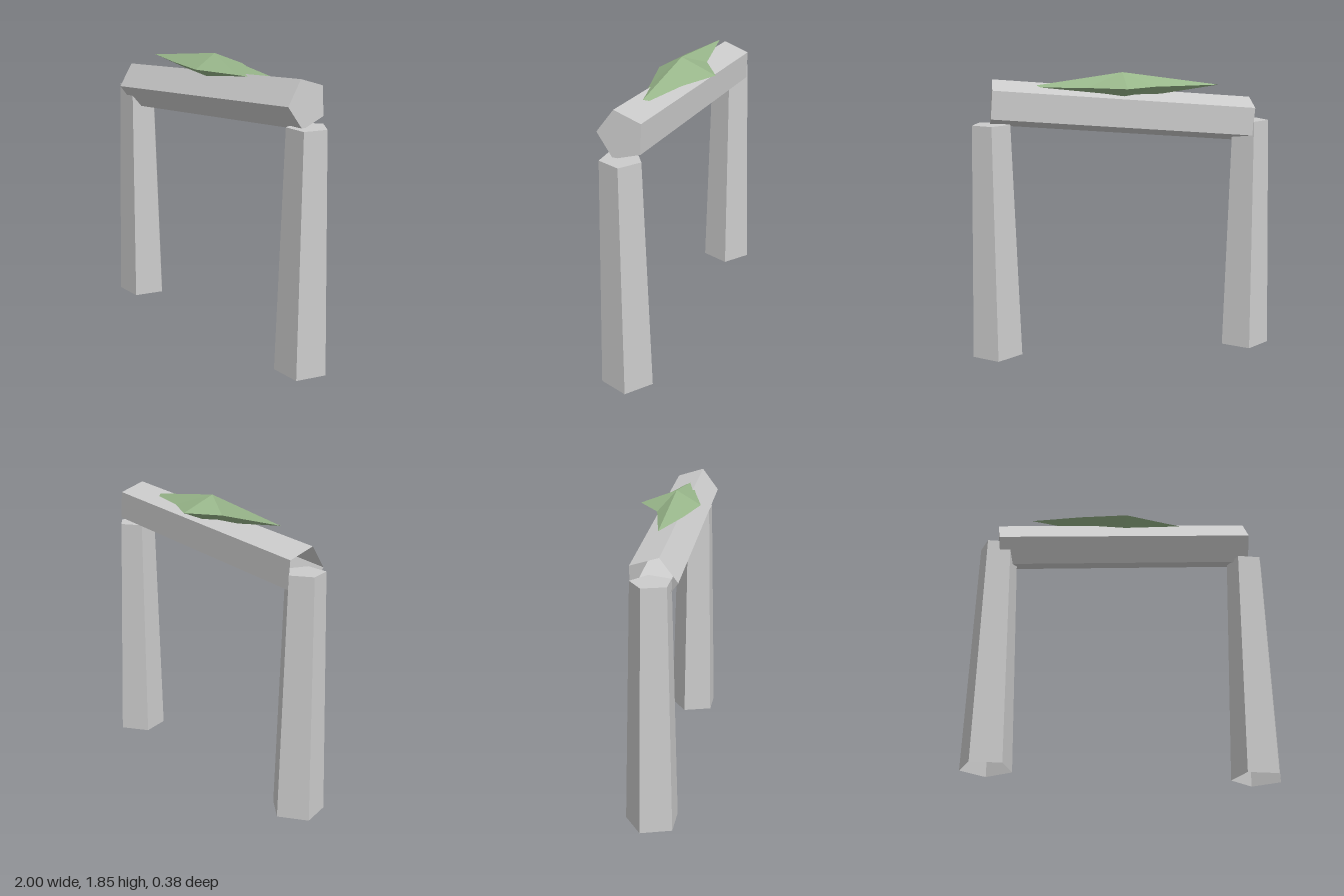
import * as THREE from 'three';

const SIDES = 5;
const Z = 0.036; // shared depth of pillars and beam

const stone = new THREE.MeshStandardMaterial({ color: 0xcccccc, flatShading: true, side: THREE.DoubleSide });
const moss = new THREE.MeshStandardMaterial({ color: 0x98b68a, flatShading: true, side: THREE.DoubleSide });

// Five-sided stone column, capped on top and open at its base
function column(name, topRadius, baseRadius, height) {
  const group = new THREE.Group();
  group.name = name;
  const sides = new THREE.Mesh(
    new THREE.CylinderGeometry(topRadius, baseRadius, height, SIDES, 1, true), stone);
  sides.name = name + 'Sides';
  const capGeometry = new THREE.CircleGeometry(topRadius, SIDES, Math.PI / 2);
  capGeometry.rotateX(-Math.PI / 2); // first corner now at -z
  capGeometry.rotateY(Math.PI); // match the column's first corner at +z
  capGeometry.translate(0, height / 2, 0);
  const cap = new THREE.Mesh(capGeometry, stone);
  cap.name = name + 'Cap';
  group.add(sides, cap);
  return group;
}

// Faceted patch: an irregular ring joined to a point above and below
function patchGeometry(ring, halfHeight) {
  const positions = [];
  const top = [0, halfHeight, 0];
  const bottom = [0, -halfHeight, 0];
  ring.forEach(([x, z], i) => {
    const [nx, nz] = ring[(i + 1) % ring.length];
    const a = [x, 0, z];
    const b = [nx, 0, nz];
    positions.push(...top, ...a, ...b, ...bottom, ...b, ...a);
  });
  const geometry = new THREE.BufferGeometry();
  geometry.setAttribute('position', new THREE.Float32BufferAttribute(positions, 3));
  geometry.computeVertexNormals();
  return geometry;
}

export function createModel() {
  const model = new THREE.Group();
  model.name = 'stoneArch';

  // Tapered pillars, corner to the back and flat face to the front
  for (const [name, side] of [['leftPillar', 1], ['rightPillar', -1]]) {
    const pillar = column(name, 0.126, 0.168, 1.53);
    pillar.position.set(side * 0.84, 0.765, Z);
    pillar.rotation.y = Math.PI;
    model.add(pillar);
  }

  // Slanted lintel, corner to the front, capped end towards +x
  const beam = column('lintel', 0.152, 0.152, 1.68);
  beam.position.set(-0.002, 1.598, Z);
  beam.rotation.z = -Math.PI / 2 + 0.0805;
  model.add(beam);

  // Moss patch, ring runs counter-clockwise seen from above
  const ring = [
    [0.63, 0], [0.24, -0.106], [0, -0.226], [-0.2, -0.086],
    [-0.63, 0], [-0.3, 0.09], [0, 0.152], [0.3, 0.075],
  ];
  const patch = new THREE.Mesh(patchGeometry(ring, 0.088), moss);
  patch.name = 'mossPatch';
  patch.position.set(0, 1.761, Z);
  model.add(patch);

  return model;
}
